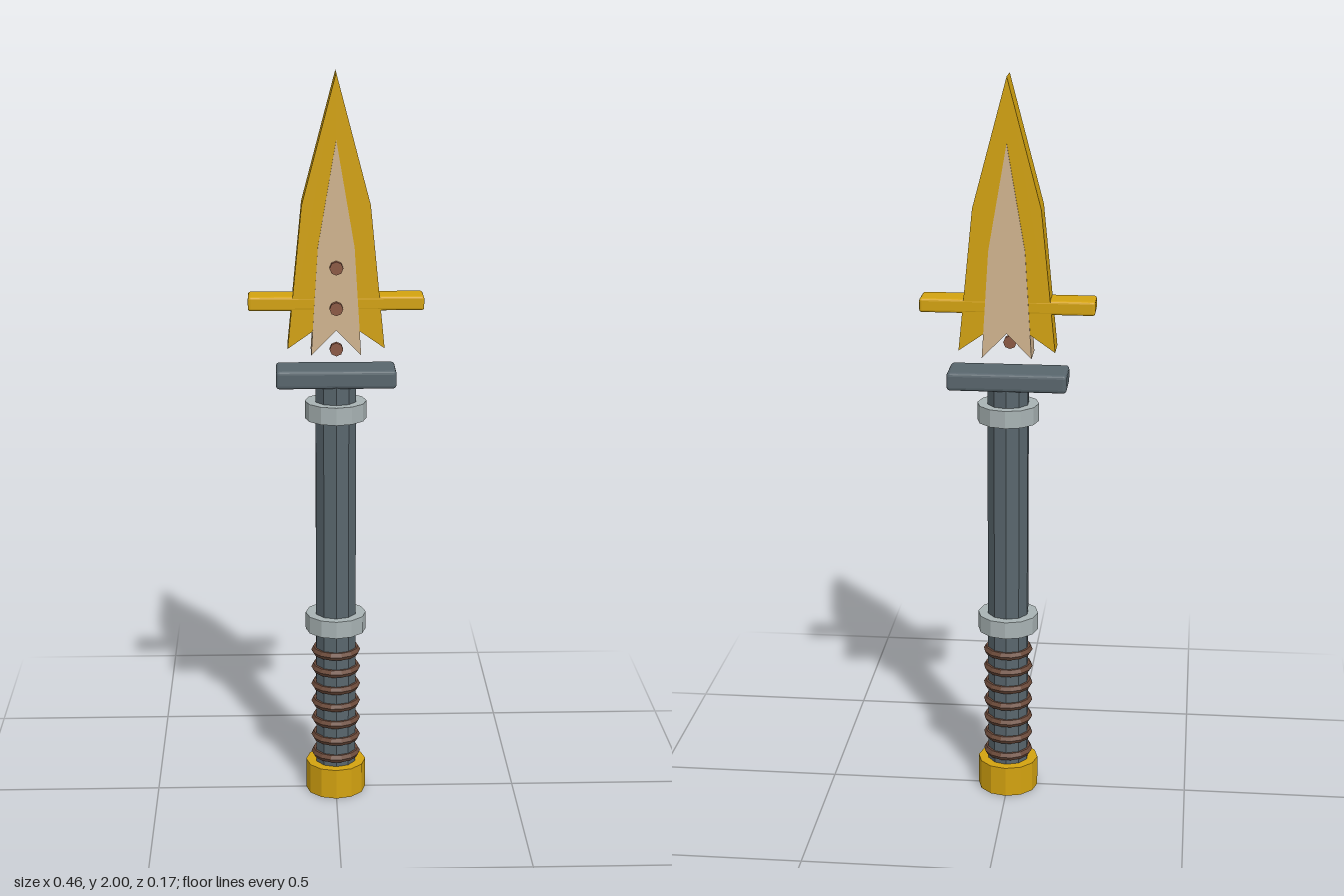
import * as THREE from 'three';
import { RoundedBoxGeometry } from 'three/addons/geometries/RoundedBoxGeometry.js';

const mat = (color) => new THREE.MeshStandardMaterial({ color, flatShading: true });

export function createModel() {
  const group = new THREE.Group();
  const gold = mat(0xd4a310), steel = mat(0x59666d), silver = mat(0xa9b4b5);
  const bone = mat(0xd2b590), copper = mat(0x8c5a45), leather = mat(0x6b4a3a);

  const add = (name, geometry, material, x = 0, y = 0, z = 0) => {
    const mesh = new THREE.Mesh(geometry, material);
    mesh.name = name;
    mesh.position.set(x, y, z);
    group.add(mesh);
    return mesh;
  };
  // Upright prism between two heights
  const post = (name, r, y0, y1, sides, material) =>
    add(name, new THREE.CylinderGeometry(r, r, y1 - y0, sides), material, 0, (y0 + y1) / 2);
  // Mirrored outline (tip, shoulder, barb, notch) extruded about z = 0
  const slab = (name, tip, shoulder, barb, notch, half, material) => {
    const shape = new THREE.Shape([
      [0, tip], [-shoulder[0], shoulder[1]], [-barb[0], barb[1]],
      [0, notch], barb, shoulder,
    ].map(([x, y]) => new THREE.Vector2(x, y)));
    const geometry = new THREE.ExtrudeGeometry(shape, { depth: half * 2, bevelEnabled: false });
    add(name, geometry, material, 0, 0, -half);
  };

  // Handle
  post('pommel', 0.083, 0, 0.085, 12, gold);
  post('shaft', 0.057, 0.04, 1.19, 10, steel);
  post('lowerCollar', 0.083, 0.477, 0.525, 12, silver);
  post('upperCollar', 0.083, 1.08, 1.128, 12, silver);

  // Grip wrapping
  for (let i = 0; i < 7; i++) {
    const band = add('gripBand', new THREE.TorusGeometry(0.056, 0.012, 6, 14), leather, 0, 0.11 + i * 0.0508);
    band.rotation.x = Math.PI / 2;
  }

  // Guard plate and cross bar
  add('guardPlate', new RoundedBoxGeometry(0.32, 0.05, 0.117, 2, 0.01), steel, 0, 1.197);
  add('crossBar', new RoundedBoxGeometry(0.464, 0.038, 0.083, 2, 0.007), gold, 0, 1.4);

  // Floating blade with inlaid core
  slab('blade', 2, [0.09, 1.66], [0.128, 1.28], 1.37, 0.041, gold);
  slab('bladeCore', 1.83, [0.048, 1.55], [0.066, 1.262], 1.33, 0.0445, bone);

  // Rivets on the front
  for (const y of [1.282, 1.39, 1.498]) {
    const rivet = add('rivet', new THREE.CylinderGeometry(0.018, 0.018, 0.016, 8), copper, 0, y, 0.055);
    rivet.rotation.x = Math.PI / 2;
  }
  return group;
}
